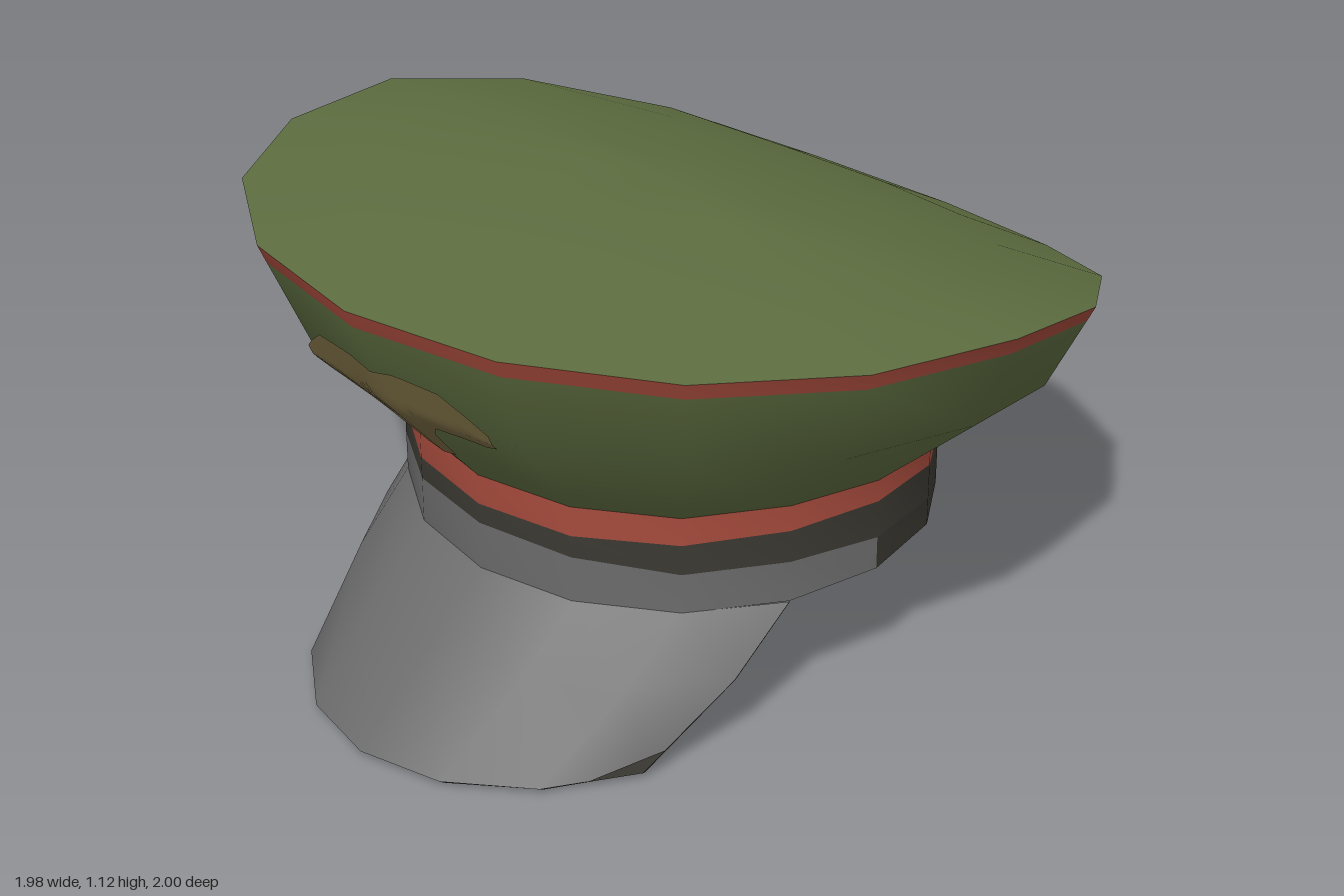
import * as THREE from 'three';
import { toCreasedNormals } from 'three/addons/utils/BufferGeometryUtils.js';

const makeMaterial = (name, color) => {
  const m = new THREE.MeshStandardMaterial({ color, side: THREE.DoubleSide });
  m.name = name;
  return m;
};

// One cross-section of the cap: 17 points from back round the front to back.
// ys holds the heights from front (0) to back (8), mirrored left to right.
function ring(rx, rz, zc, ys) {
  const pts = [];
  for (let i = -8; i <= 8; i++) {
    const a = (i * Math.PI) / 8;
    pts.push(new THREE.Vector3(rx * Math.sin(a), ys[Math.abs(i)], zc + rz * Math.cos(a)));
  }
  return pts;
}

// Skin between successive rows of points, listed from top to bottom.
function loft(rows) {
  const n = rows[0].length;
  const index = [];
  for (let r = 0; r < rows.length - 1; r++) {
    for (let i = 0; i < n - 1; i++) {
      const a = r * n + i, b = a + 1, d = a + n, c = d + 1;
      index.push(a, d, c, a, c, b);
    }
  }
  const g = new THREE.BufferGeometry().setFromPoints(rows.flat());
  g.setIndex(index);
  return toCreasedNormals(g, 0.62);
}

const mixRows = (a, b, t) => a.map((p, i) => p.clone().lerp(b[i], t));

export function createModel() {
  const green = makeMaterial('olive cloth', 0x5f6f41);
  const red = makeMaterial('red piping', 0xa54a3c);
  const grey = makeMaterial('grey leather', 0x6b6b6b);
  const dark = makeMaterial('dark band', 0x3b3932);
  const brown = makeMaterial('brown badge', 0x786a42);

  const cap = new THREE.Group();
  cap.name = 'peakedCap';
  const add = (name, geometry, material) => {
    const mesh = new THREE.Mesh(geometry, material);
    mesh.name = name;
    cap.add(mesh);
  };

  // Main cross-sections
  const rim = ring(0.99, 0.985, -0.015, [1.12, 1.115, 1.10, 1.08, 1.047, 0.955, 0.84, 0.735, 0.70]);
  const belly = ring(0.89, 0.875, -0.015, [0.86, 0.855, 0.85, 0.83, 0.80, 0.74, 0.63, 0.53, 0.50]);
  const bandTop = ring(0.645, 0.62, 0, [0.58, 0.58, 0.58, 0.585, 0.57, 0.54, 0.48, 0.435, 0.42]);
  const stripeLow = ring(0.645, 0.62, 0, [0.505, 0.505, 0.51, 0.52, 0.515, 0.49, 0.44, 0.405, 0.395]);
  const greyTop = ring(0.645, 0.62, 0, [0.455, 0.45, 0.435, 0.44, 0.42, 0.40, 0.37, 0.34, 0.33]);
  const bandLow = ring(0.645, 0.62, 0, [0.335, 0.335, 0.335, 0.338, 0.338, 0.33, 0.30, 0.28, 0.27]);

  // Gently domed top that follows the sloping rim
  const rimHeight = (z) => {
    for (let i = 8; i < 16; i++) {
      const p = rim[i], q = rim[i + 1];
      if (z >= q.z) return THREE.MathUtils.mapLinear(z, q.z, p.z, q.y, p.y);
    }
    return rim[16].y;
  };
  const crownRows = [0, 0.25, 0.5, 0.75, 1].map((s) => rim.map((p) => {
    const z = -0.015 + (p.z + 0.015) * s;
    return new THREE.Vector3(p.x * s, s === 1 ? p.y : rimHeight(z) + 0.045 * (1 - s * s), z);
  }));
  add('crownTop', loft(crownRows), green);

  // Flared sides with piping under the rim
  const pipingLow = mixRows(rim, belly, 0.17);
  add('rimPiping', loft([rim, pipingLow]), red);
  add('crownSide', loft([pipingLow, belly, bandTop]), green);

  // Head band
  add('bandStripe', loft([bandTop, stripeLow]), red);
  add('bandMiddle', loft([stripeLow, greyTop]), dark);
  add('bandFront', loft([greyTop.slice(4, 13), bandLow.slice(4, 13)]), grey);
  add('bandBackRight', loft([greyTop.slice(0, 5), bandLow.slice(0, 5)]), dark);
  add('bandBackLeft', loft([greyTop.slice(12), bandLow.slice(12)]), dark);
  const inset = (row) => row.map((p) => new THREE.Vector3(p.x * 0.975, p.y, p.z * 0.975));
  add('bandLining', loft([inset(bandTop), inset(bandLow)]), dark);
  add('bandLowerEdge', loft([bandLow, inset(bandLow)]), dark);

  // Visor: the front arc of the band carried forward and down
  const visorRow = (y, scale, forward, inner) => bandLow.slice(5, 12).map((p) =>
    new THREE.Vector3(p.x * scale * (inner ? 0.975 : 1), y - (inner ? 0.015 : 0),
      p.z + forward - (inner ? 0.018 : 0)));
  const visorRows = (inner) => [
    visorRow(0.336, 1, 0, inner),
    visorRow(0.2, 0.98, 0.163, inner),
    visorRow(0.022, 0.855, 0.378, inner),
  ];
  const outer = visorRows(false), inner = visorRows(true);
  const outline = (r) => [r[0][0], r[1][0], ...r[2], r[1][6], r[0][6]];
  add('visorTop', loft(outer), grey);
  add('visorUnderside', loft(inner), dark);
  add('visorEdge', loft([outline(outer), outline(inner)]), dark);

  // Worn corner on the visor's left
  const corner = outer[2][6];
  const worn = [
    corner.clone().lerp(outer[1][6], 0.25),
    corner.clone().lerp(outer[2][5], 0.55),
    corner.clone(),
  ].map((p) => p.add(new THREE.Vector3(0.004, 0.003, 0.003)));
  const wornGeometry = new THREE.BufferGeometry().setFromPoints(worn);
  wornGeometry.computeVertexNormals();
  add('visorWornCorner', wornGeometry, dark);

  // Winged badge laid on the front of the crown: columns of x, top y, bottom y
  const half = [[0, 0.955, 0.68], [0.045, 0.965, 0.69], [0.065, 0.97, 0.78],
    [0.1, 0.97, 0.82], [0.19, 0.965, 0.83], [0.25, 0.92, 0.83], [0.29, 0.885, 0.845]];
  const columns = [...half.slice(1).reverse().map(([x, t, b]) => [-x, t, b]), ...half];
  const onWall = (x, y) => {
    const z = y > 0.86
      ? THREE.MathUtils.mapLinear(y, 0.86, 1.12, 0.86, 0.97)
      : THREE.MathUtils.mapLinear(y, 0.58, 0.86, 0.62, 0.86);
    return new THREE.Vector3(x, y, z - 0.13 * Math.abs(x) + 0.01);
  };
  const badgeRows = [];
  for (let r = 0; r <= 8; r++) {
    badgeRows.push(columns.map(([x, t, b]) => onWall(x, t + ((b - t) * r) / 8)));
  }
  add('frontBadge', loft(badgeRows), brown);

  return cap;
}
